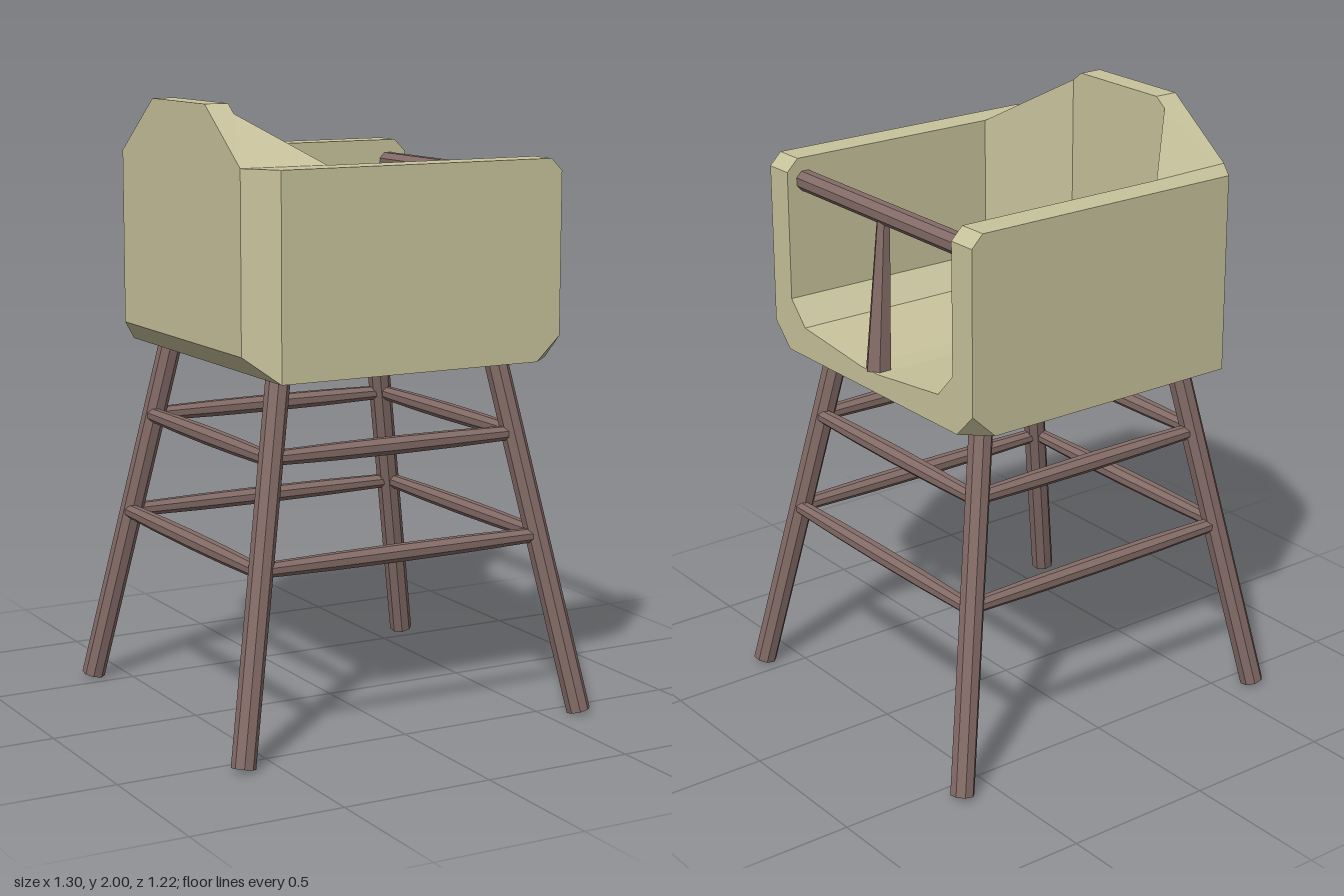
import * as THREE from 'three';

const shellMat = new THREE.MeshStandardMaterial({ color: 0xc8c39c, flatShading: true });
const woodMat = new THREE.MeshStandardMaterial({ color: 0x846c67, flatShading: true });

// Faceted solid from convex faces of its +z half, mirrored to the other side
function mirroredSolid(faces) {
  const out = [];
  for (const f of faces) {
    for (let i = 1; i < f.length - 1; i++) {
      out.push(...f[0], ...f[i], ...f[i + 1]);
      for (const p of [f[0], f[i + 1], f[i]]) out.push(p[0], p[1], -p[2]);
    }
  }
  const g = new THREE.BufferGeometry();
  g.setAttribute('position', new THREE.Float32BufferAttribute(out, 3));
  g.computeVertexNormals();
  return g;
}

// Eight-sided rod between two points; bulge thickens its middle
function rod(name, a, b, rA, rB, bulge = 0, sides = 8) {
  const from = new THREE.Vector3(...a), to = new THREE.Vector3(...b);
  const dir = to.clone().sub(from), len = dir.length();
  const g = new THREE.CylinderGeometry(rB, rA, len, sides, bulge ? 4 : 1);
  const p = g.attributes.position;
  for (let i = 0; i < p.count; i++) {
    const t = (2 * p.getY(i)) / len, s = 1 + bulge * (1 - t * t);
    p.setX(i, p.getX(i) * s);
    p.setZ(i, p.getZ(i) * s);
  }
  g.rotateY(Math.PI / sides);
  const m = new THREE.Mesh(g, woodMat);
  m.name = name;
  m.position.copy(from).add(to).multiplyScalar(0.5);
  m.quaternion.setFromUnitVectors(new THREE.Vector3(0, 1, 0), dir.normalize());
  return m;
}

function seatShell() {
  // outer back
  const A1 = [-0.54, 2, 0], A2 = [-0.54, 2, 0.19], A3 = [-0.54, 1.82, 0.43];
  const A4 = [-0.54, 1.25, 0.43], A5 = [-0.54, 1.25, 0];
  // outer side wall and underside
  const C1 = [-0.46, 1.175, 0.54], C2 = [-0.46, 1.82, 0.54], N0 = [-0.46, 1.175, 0];
  const D1 = [0.455, 1.175, 0.54], D2 = [0.54, 1.255, 0.54];
  const D3 = [0.54, 1.78, 0.54], D4 = [0.5, 1.82, 0.54];
  const E0 = [0.54, 1.175, 0], E1 = [0.54, 1.175, 0.46];
  // inner edge of the opening
  const F0 = [0.54, 1.24, 0], F1 = [0.54, 1.24, 0.045], F2 = [0.54, 1.275, 0.365];
  const F3 = [0.54, 1.355, 0.44], F4 = [0.54, 1.78, 0.44], G4 = [0.5, 1.82, 0.44];
  // inner back and corner
  const B1 = [-0.46, 2, 0], B2 = [-0.46, 2, 0.19], I = [-0.46, 1.97, 0.23];
  const H = [-0.25, 1.82, 0.44], K0 = [-0.46, 1.485, 0], K1 = [-0.46, 1.485, 0.23];
  const L = [-0.38, 1.4, 0.31];
  // rear end of the seat floor
  const M0 = [-0.25, 1.24, 0], M1 = [-0.25, 1.24, 0.045];
  const M2 = [-0.25, 1.275, 0.365], M3 = [-0.25, 1.355, 0.44];

  const mesh = new THREE.Mesh(mirroredSolid([
    [A5, A4, A3, A2, A1], [A4, C1, C2, A3],                       // back and its corner
    [C1, D1, D2, D3, D4, C2], [D1, E1, D2],                       // side wall, cut corner
    [E1, E0, F0, F1, F2], [E1, F2, F3, D2], [D2, F3, F4, D3],     // lip of the opening
    [D3, F4, G4, D4], [C2, D4, G4, H],                            // top rim
    [A3, C2, H, I], [A2, A3, I, B2], [A1, A2, B2, B1],            // raised backrest rim
    [K1, K0, B1, B2, I], [M3, L, K1, I, H], [F3, M3, H, G4, F4],  // inner walls
    [M3, F3, F2, M2], [M2, F2, F1, M1], [M1, F1, F0, M0],         // seat floor
    [K1, L, M2, M1, M0, K0], [L, M3, M2],                         // slope up to the back
    [N0, E0, E1, D1, C1], [A5, N0, C1, A4],                       // underside
  ]), shellMat);
  mesh.name = 'seatShell';
  return mesh;
}

export function createModel() {
  const model = new THREE.Group();
  model.add(seatShell());

  // Guard bar across the opening, with its post
  model.add(rod('guardBar', [0.473, 1.743, -0.445], [0.473, 1.743, 0.445], 0.035, 0.035));
  model.add(rod('guardPost', [0.505, 1.235, 0], [0.475, 1.73, 0], 0.043, 0.022, 0, 6));

  // Splayed legs
  const legX = (y) => 0.617 - 0.19 * y, legZ = (y) => 0.577 - 0.16 * y;
  for (const sx of [-1, 1]) for (const sz of [-1, 1]) {
    model.add(rod('leg', [sx * legX(0.01), 0.01, sz * legZ(0.01)],
      [sx * legX(1.2), 1.2, sz * legZ(1.2)], 0.039, 0.039));
  }

  // Two tiers of stretchers, thicker at mid-length
  for (const y of [0.595, 0.93]) for (const s of [-1, 1]) {
    const x = legX(y), z = legZ(y);
    model.add(rod('longStretcher', [-x, y, s * z], [x, y, s * z], 0.024, 0.024, 0.25));
    model.add(rod('crossStretcher', [s * (x + 0.01), y, -z], [s * (x + 0.01), y, z], 0.024, 0.024, 0.25));
  }
  return model;
}
